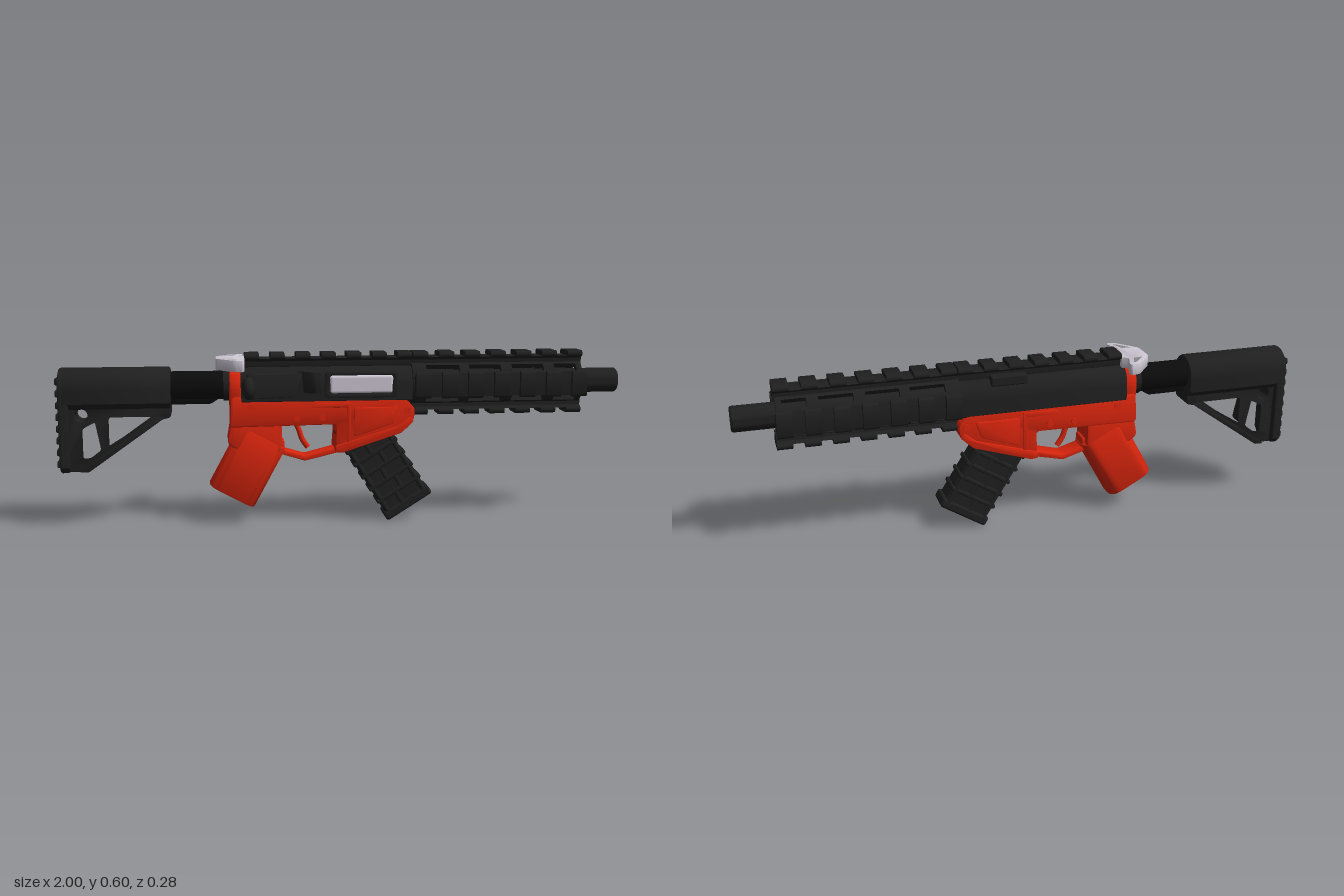
import * as THREE from 'three';
import { toCreasedNormals } from 'three/addons/utils/BufferGeometryUtils.js';
import { RoundedBoxGeometry } from 'three/addons/geometries/RoundedBoxGeometry.js';

const mat = (color) => new THREE.MeshStandardMaterial({ color });
const BLACK = mat(0x1f1f1f), DARK = mat(0x0b0b0b), RED = mat(0xd8250d), SILVER = mat(0xccc6d2);
const AXIS = 0.498; // height of the barrel axis

// Outline with softly rounded corners
function outline(pts, r = 0.008, Type = THREE.Shape) {
  const s = new Type(), n = pts.length, v = pts.map((p) => new THREE.Vector2(...p));
  for (let i = 0; i < n; i++) {
    const p = v[i], a = v[(i + n - 1) % n], b = v[(i + 1) % n];
    const toward = (q) => p.clone().lerp(q, Math.min(0.45, r / p.distanceTo(q)));
    const s0 = toward(a), s1 = toward(b);
    if (i) s.lineTo(s0.x, s0.y); else s.moveTo(s0.x, s0.y);
    s.quadraticCurveTo(p.x, p.y, s1.x, s1.y);
  }
  s.closePath();
  return s;
}

// Extrusion centred on z, with bevels kept inside the outline
function slab(shape, depth, bevel) {
  const g = new THREE.ExtrudeGeometry(shape, {
    depth: depth - 2 * bevel, bevelEnabled: bevel > 0, bevelSize: bevel, bevelThickness: bevel,
    bevelOffset: -bevel, bevelSegments: 2, curveSegments: 8,
  });
  g.translate(0, 0, -depth / 2 + bevel);
  return toCreasedNormals(g, 0.6);
}

// Extrusion of a cross-section along x, from x0 to x1
function along(shape, x0, x1, bevel = 0) {
  return slab(shape, x1 - x0, bevel).rotateY(Math.PI / 2).translate((x0 + x1) / 2, 0, 0);
}

function rod(r, x0, x1) {
  return new THREE.CylinderGeometry(r, r, x1 - x0, 32).rotateZ(-Math.PI / 2).translate((x0 + x1) / 2, 0, 0);
}

// Round-topped section with straight sides
function archSection(r, yc, yBottom, chamfer) {
  const s = new THREE.Shape();
  s.moveTo(r, yc);
  s.absarc(0, yc, r, 0, Math.PI);
  s.lineTo(-r, yBottom + chamfer);
  s.lineTo(-r + chamfer, yBottom);
  s.lineTo(r - chamfer, yBottom);
  s.lineTo(r, yBottom + chamfer);
  s.closePath();
  return s;
}

// Part of a ring between two angles
function sector(a0, a1, rIn, rOut) {
  const s = new THREE.Shape();
  s.absarc(0, 0, rOut, a0, a1);
  s.absarc(0, 0, rIn, a1, a0, true);
  s.closePath();
  return s;
}

export function createModel() {
  const root = new THREE.Group();
  const body = new THREE.Group();
  body.name = 'body';
  body.position.z = -0.013;
  root.add(body);
  const add = (name, geo, material, parent = body) => {
    const m = new THREE.Mesh(geo, material);
    m.name = name;
    parent.add(m);
    return m;
  };

  // Barrel with an open end
  const bore = [[0, 0.9], [0.028, 0.9], [0.028, 1], [0.039, 1], [0.044, 0.994], [0.044, 0.24]];
  const barrel = add('barrel', toCreasedNormals(new THREE.LatheGeometry(bore.map((p) => new THREE.Vector2(...p)), 32), 0.6)
    .rotateZ(-Math.PI / 2).translate(0, AXIS, 0), mat(0x1f1f1f));
  barrel.material.side = THREE.DoubleSide;

  // Notched rail, pointing up from the axis, turned about it by angle
  const railBase = outline([[-0.03, 0.064], [0.03, 0.064], [0.03, 0.085], [0.042, 0.094], [-0.042, 0.094], [-0.03, 0.085]], 0.001);
  const railTooth = outline([[-0.031, 0.086], [0.031, 0.086], [0.046, 0.096], [0.046, 0.105], [0.039, 0.112], [-0.039, 0.112], [-0.046, 0.105], [-0.046, 0.096]], 0.001);
  const rail = (name, x0, x1, angle) => {
    const g = new THREE.Group();
    g.name = name;
    g.position.y = AXIS;
    g.rotation.x = angle;
    add('railBase', along(railBase, x0, x1), BLACK, g);
    const n = Math.round((x1 - x0 + 0.04) / 0.0945), pitch = (x1 - x0 + 0.04) / n;
    for (let i = 0; i < n; i++) add('railTooth', along(railTooth, x0 + i * pitch, x0 + (i + 1) * pitch - 0.04), BLACK, g);
    body.add(g);
  };
  for (let i = 0; i < 4; i++) rail('handguardRail', 0.245, 0.86, i * Math.PI / 2);
  rail('receiverRail', -0.35, 0.24, 0);

  // Handguard: four full-length strips, joined by bridges between the slots
  const guard = new THREE.Group();
  guard.name = 'handguard';
  guard.position.y = AXIS;
  body.add(guard);
  const bridges = [[0.24, 0.29], [0.41, 0.445], [0.56, 0.6], [0.715, 0.755], [0.835, 0.855]];
  const half = 0.58;
  for (let i = 0; i < 4; i++) {
    const a = i * Math.PI / 2;
    add('handguardStrip', along(sector(a - half, a + half, 0.06, 0.078), 0.24, 0.855), BLACK, guard);
    for (const [x0, x1] of bridges)
      add('handguardBridge', along(sector(a + half, a + Math.PI / 2 - half, 0.06, 0.078), x0, x1), BLACK, guard);
  }
  add('barrelNut', rod(0.062, 0.24, 0.275), BLACK, guard);

  // Upper receiver with port, deflector and plunger on the left, and a lug on the right
  add('upperReceiver', along(archSection(0.07, AXIS, 0.44, 0.005), -0.365, 0.24, 0.004), BLACK);
  const frame = outline([[-0.07, 0.455], [0.185, 0.455], [0.185, 0.546], [-0.07, 0.546]], 0.015);
  frame.holes.push(outline([[-0.055, 0.468], [0.17, 0.468], [0.17, 0.534], [-0.055, 0.534]], 0.012, THREE.Path));
  add('portFrame', slab(frame, 0.025, 0.003).translate(0, 0, 0.064), BLACK);
  add('bolt', new RoundedBoxGeometry(0.228, 0.068, 0.03, 3, 0.012).translate(0.0575, 0.501, 0.058), SILVER);
  add('deflector', slab(outline([[-0.17, 0.05], [-0.115, 0.1], [-0.085, 0.1], [-0.07, 0.05]], 0.01), 0.075, 0.004)
    .rotateX(Math.PI / 2).translate(0, 0.512, 0), BLACK);
  add('plungerHousing', slab(outline([[-0.345, 0.04], [-0.345, 0.112], [-0.32, 0.112], [-0.13, 0.06], [-0.13, 0.04]], 0.008), 0.085, 0.004)
    .rotateX(Math.PI / 2).translate(0, 0.502, 0), BLACK);
  const plunger = add('plunger', new THREE.SphereGeometry(0.04, 24, 16), BLACK);
  plunger.position.set(-0.34, AXIS, 0.117);
  plunger.scale.x = 0.6;
  add('sideLug', new RoundedBoxGeometry(0.13, 0.035, 0.04, 2, 0.006).translate(0.065, 0.558, -0.045), BLACK);

  // Charging handle: flat body with two pierced wings
  const wing = [[-0.45, 0.045], [-0.39, 0.118], [-0.357, 0.127], [-0.352, 0.112], [-0.372, 0.055], [-0.35, 0.04]];
  const flip = (p) => p.map(([x, z]) => [x, -z]).reverse();
  const handle = outline([...wing, ...flip(wing)], 0.008);
  const gap = [[-0.428, 0.052], [-0.388, 0.1], [-0.368, 0.108], [-0.388, 0.055]];
  handle.holes.push(outline(gap, 0.006, THREE.Path), outline(flip(gap), 0.006, THREE.Path));
  add('chargingHandle', slab(handle, 0.04, 0.002).rotateX(Math.PI / 2).translate(0, 0.575, 0), SILVER);

  // Lower receiver with magazine well
  add('lowerReceiver', slab(outline([[-0.4, 0.46], [0.21, 0.456], [0.25, 0.41], [0.245, 0.37], [0.2, 0.33],
    [-0.01, 0.262], [-0.035, 0.265], [-0.03, 0.36], [-0.405, 0.355]], 0.015), 0.138, 0.006), RED);
  add('rearPlate', along(outline([[-0.055, 0.42], [0.055, 0.42], [0.066, 0.5], [0.045, 0.555], [-0.045, 0.555], [-0.066, 0.5]], 0.025), -0.405, -0.36, 0.008), RED);
  add('magazineWellLip', slab(outline([[-0.035, 0.262], [-0.008, 0.26], [0.2, 0.327], [0.244, 0.368], [0.23, 0.385], [0.19, 0.352], [-0.035, 0.285]], 0.006), 0.15, 0.003), RED);
  for (const s of [1, -1]) {
    add('wellPanel', slab(outline([[0.03, 0.315], [0.17, 0.36], [0.19, 0.42], [0.03, 0.42]], 0.012), 0.01, 0.004).translate(0, 0, s * 0.068), RED);
    add('sideRib', slab(outline([[-0.12, 0.42], [-0.1, 0.437], [0.02, 0.437], [0.02, 0.3], [0.005, 0.295], [0.005, 0.42]], 0.005), 0.01, 0.002).translate(0, 0, s * 0.069), RED);
    for (const [x, y] of [[0.222, 0.405], [-0.08, 0.385], [-0.17, 0.385], [-0.33, 0.425]])
      add('pin', new THREE.CylinderGeometry(0.012, 0.012, 0.01, 16).rotateX(Math.PI / 2).translate(x, y, s * 0.068), RED);
  }

  // Trigger and its guard
  add('triggerGuard', slab(outline([[-0.235, 0.3], [-0.235, 0.255], [-0.14, 0.226], [-0.01, 0.257], [-0.015, 0.276], [-0.14, 0.244], [-0.212, 0.266], [-0.212, 0.3]], 0.008), 0.07, 0.003), RED);
  const pull = new THREE.CatmullRomCurve3([[-0.175, 0.37], [-0.158, 0.33], [-0.148, 0.3], [-0.128, 0.27]].map((p) => new THREE.Vector3(...p, 0)));
  add('trigger', new THREE.TubeGeometry(pull, 12, 0.01, 10), RED);

  // Pistol grip: rounded section swept along the tilted axis, and the neck above it
  const gripSection = outline([[-0.09, -0.063], [0.09, -0.063], [0.09, 0.063], [-0.09, 0.063]], 0.05);
  const grip = add('grip', slab(gripSection, 0.24, 0.005).rotateX(-Math.PI / 2).translate(0, 0.12, 0), RED);
  grip.position.set(-0.401, 0.104, 0);
  grip.rotation.z = -0.5;
  add('gripNeck', slab(outline([[-0.4, 0.38], [-0.222, 0.38], [-0.222, 0.275], [-0.28, 0.21], [-0.415, 0.295]], 0.02), 0.12, 0.01), RED);

  // Magazine: tilted body with raised ribs
  const mag = new THREE.Group();
  mag.name = 'magazine';
  mag.position.set(0.227, 0.068, 0.009);
  mag.rotation.z = 0.56;
  body.add(mag);
  add('magazineBody', new RoundedBoxGeometry(0.172, 0.36, 0.088, 3, 0.012).translate(0, 0.18, 0), BLACK, mag);
  add('magazineBase', new RoundedBoxGeometry(0.19, 0.035, 0.102, 3, 0.01).translate(0, 0.0, 0), BLACK, mag);
  for (let i = 0; i < 5; i++) {
    add('magazineBand', new RoundedBoxGeometry(0.184, 0.016, 0.1, 2, 0.006).translate(0, 0.062 + i * 0.053, 0), BLACK, mag);
    add('magazineStud', new RoundedBoxGeometry(0.016, 0.05, 0.098, 2, 0.005).translate(i % 2 ? 0.014 : -0.014, 0.035 + i * 0.053, 0), BLACK, mag);
  }
  for (const s of [1, -1])
    add('magazineSpine', new RoundedBoxGeometry(0.016, 0.27, 0.1, 2, 0.006).translate(s * 0.074, 0.135, 0), BLACK, mag);

  // Stock tube with lock ring and lower ridge
  add('stockTube', rod(0.05, -0.64, -0.39).translate(0, AXIS, 0), DARK);
  add('lockRing', rod(0.056, -0.425, -0.4).translate(0, AXIS, 0), BLACK);
  add('tubeRidge', slab(outline([[-0.64, 0.46], [-0.43, 0.46], [-0.45, 0.445], [-0.47, 0.433], [-0.64, 0.433]], 0.006), 0.035, 0.003), DARK);

  // Shoulder stock: rounded upper, pierced web and serrated pad
  add('stockBody', along(archSection(0.073, 0.492, 0.425, 0.02), -0.985, -0.607, 0.008), BLACK);
  const web = outline([[-0.985, 0.45], [-0.607, 0.45], [-0.607, 0.392], [-0.64, 0.385], [-0.893, 0.206], [-0.985, 0.206]], 0.012);
  const eye = new THREE.Path();
  eye.absarc(-0.914, 0.403, 0.022, 0, Math.PI * 2);
  web.holes.push(eye,
    outline([[-0.825, 0.4], [-0.66, 0.4], [-0.72, 0.355], [-0.825, 0.29]], 0.015, THREE.Path),
    outline([[-0.915, 0.36], [-0.865, 0.385], [-0.845, 0.28], [-0.885, 0.25], [-0.915, 0.25]], 0.012, THREE.Path));
  add('stockWeb', slab(web, 0.1, 0.004), BLACK);
  add('stockStrut', slab(outline([[-0.925, 0.206], [-0.893, 0.206], [-0.625, 0.395], [-0.66, 0.395]], 0.006), 0.125, 0.003), BLACK);
  add('stockPad', along(archSection(0.073, 0.492, 0.204, 0.02), -0.99, -0.955, 0.008), BLACK);
  for (let i = 0; i < 8; i++)
    add('padRidge', new RoundedBoxGeometry(0.024, 0.024, 0.12, 2, 0.006).translate(-0.988, 0.235 + i * 0.041, 0), BLACK);

  return root;
}
